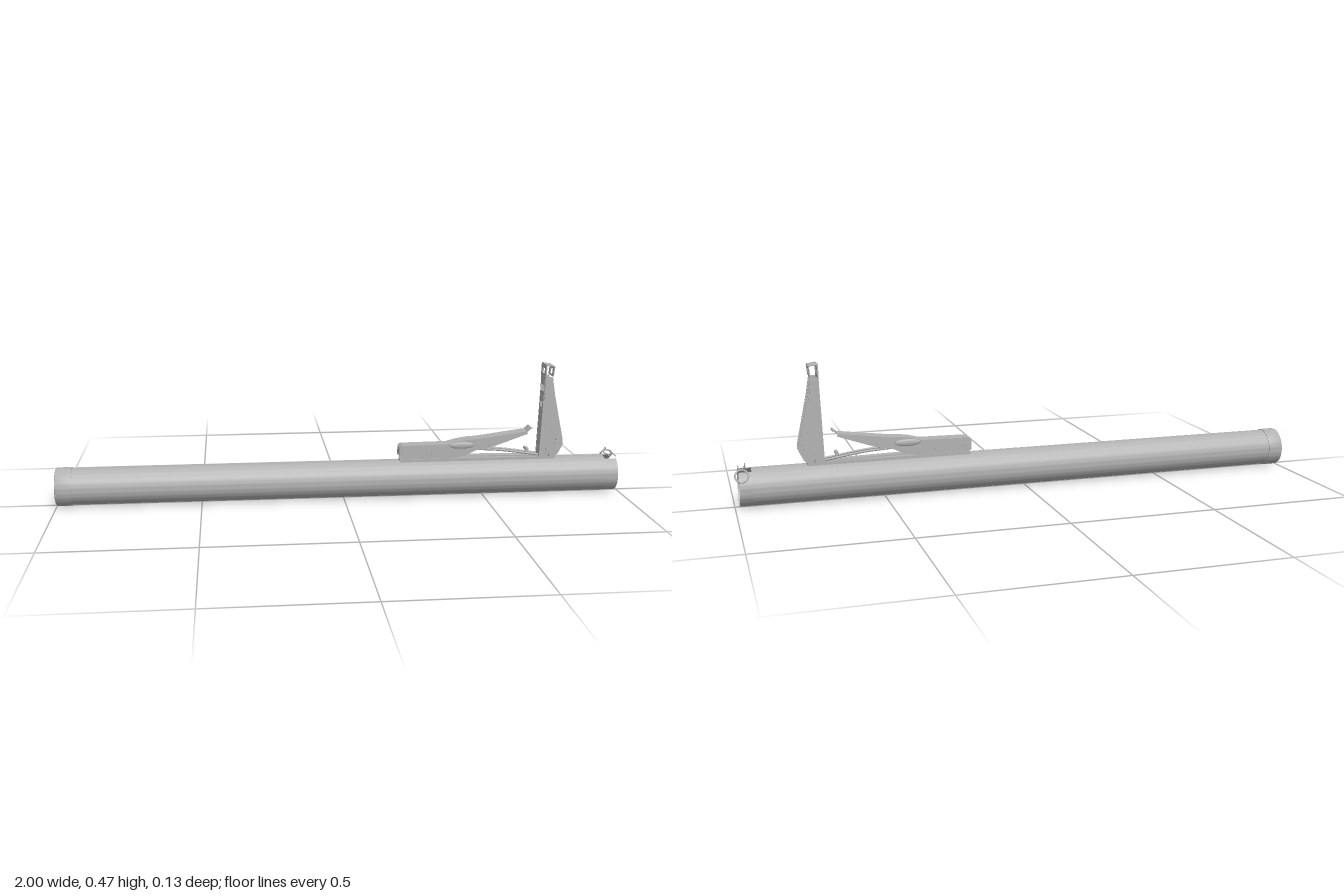
import * as THREE from 'three';
import { toCreasedNormals } from 'three/addons/utils/BufferGeometryUtils.js';

const metal = new THREE.MeshStandardMaterial({ color: 0xb2b2b2, side: THREE.DoubleSide });
metal.name = 'grey metal';
const V = (x, y, z) => new THREE.Vector3(x, y, z);
const AXIS_Y = 0.067;

export function createModel() {
  const root = new THREE.Group();
  const add = (name, geo, parent = root) => {
    const m = new THREE.Mesh(geo, metal);
    m.name = name;
    parent.add(m);
    return m;
  };
  const group = (name) => {
    const g = new THREE.Group();
    g.name = name;
    root.add(g);
    return g;
  };
  const shapeOf = (pts) => new THREE.Shape(pts.map(([x, y]) => new THREE.Vector2(x, y)));
  const extrude = (shape, depth) => {
    const g = new THREE.ExtrudeGeometry(shape, { depth, bevelEnabled: false });
    g.translate(0, 0, -depth / 2);
    return g;
  };
  // Side plate outlined in x and y
  const plate = (name, pts, t, z, parent) => add(name, extrude(shapeOf(pts), t).translate(0, 0, z), parent);
  // Bent strip of sheet metal following a path in x and y
  const strip = (name, pts, width, t, parent) => {
    const lower = pts.map(([x, y], i) => {
      const a = pts[Math.max(0, i - 1)], b = pts[Math.min(pts.length - 1, i + 1)];
      const l = Math.hypot(b[0] - a[0], b[1] - a[1]);
      return [x + (b[1] - a[1]) / l * t, y - (b[0] - a[0]) / l * t];
    });
    return add(name, extrude(shapeOf([...pts, ...lower.reverse()]), width), parent);
  };
  // Sheet in the y-z plane with rectangular holes [halfWidth, y0, y1]
  const holedSheet = (name, pts, holes, t, x, lean, parent) => {
    const s = shapeOf([...pts, ...pts.map(([z, y]) => [-z, y]).reverse()]);
    for (const [w, a, b] of holes) {
      s.holes.push(new THREE.Path([[-w, a], [-w, b], [w, b], [w, a]].map((p) => new THREE.Vector2(...p))));
    }
    const g = extrude(s, t).rotateY(Math.PI / 2).rotateZ(-lean).translate(x, 0, 0);
    return add(name, g, parent);
  };
  const wire = (name, pts, r, parent) =>
    add(name, new THREE.TubeGeometry(new THREE.CatmullRomCurve3(pts, false, 'centripetal'), 32, r, 8), parent);
  const pin = (name, x, y, r, len, parent, z = 0) =>
    add(name, new THREE.CylinderGeometry(r, r, len, 16).rotateX(Math.PI / 2).translate(x, y, z), parent);
  // Turned part along x, profile given as [radius, x]
  const turned = (name, pts, start = 0, length = Math.PI * 2) => {
    const g = new THREE.LatheGeometry(pts.map(([r, x]) => new THREE.Vector2(r, x)), 64, start, length);
    return add(name, toCreasedNormals(g.rotateZ(-Math.PI / 2), 0.5).translate(0, AXIS_Y, 0));
  };

  // Tube with a notch in the top of its open end
  turned('tube', [[0.064, -0.95], [0.064, 0.943], [0.061, 0.943], [0.061, -0.985]]);
  turned('notchedTubeEnd', [[0.064, 0.943], [0.064, 0.985], [0.061, 0.985], [0.061, 0.943]],
    Math.PI * 1.5 + 0.48, Math.PI * 2 - 0.96);
  turned('endCap', [[0, -1], [0.062, -1], [0.0655, -0.998], [0.067, -0.993], [0.067, -0.948], [0.066, -0.945],
    [0.063, -0.945], [0.061, -0.985], [0, -0.985]]);

  // Mounting rail on top of the tube
  add('mountingRail', new THREE.BoxGeometry(0.56, 0.01, 0.044).translate(0.48, 0.132, 0));

  // Lever: a channel open below
  const lever = group('lever');
  const top = [[0.196, 0.155], [0.197, 0.18], [0.206, 0.188], [0.37, 0.19], [0.41, 0.2], [0.45, 0.206],
    [0.48, 0.207], [0.655, 0.23], [0.668, 0.243], [0.674, 0.243]];
  const side = [[0.205, 0.139], [0.196, 0.146], ...top.slice(1, 7), [0.652, 0.23], [0.66, 0.222],
    [0.54, 0.18], [0.47, 0.165], [0.43, 0.146], [0.4, 0.139]];
  strip('leverTop', top, 0.05, 0.004, lever);
  for (const s of [-1, 1]) {
    plate('leverSide', side, 0.004, s * 0.024, lever);
    pin('leverRivet', 0.32, 0.157, 0.008, 0.006, lever, s * 0.028);
    pin('leverRivet', 0.52, 0.186, 0.006, 0.006, lever, s * 0.028);
    add('leverBulge', new THREE.SphereGeometry(1, 16, 10).scale(0.045, 0.012, 0.005).translate(0.42, 0.185, s * 0.026), lever);
  }
  pin('leverPivot', 0.215, 0.16, 0.008, 0.062, lever);

  // Linkage beneath the lever
  const link = group('linkage');
  for (const s of [-1, 1]) {
    wire('linkRod', [V(0.47, 0.168, s * 0.014), V(0.56, 0.162, s * 0.014), V(0.7, 0.142, s * 0.014)], 0.004, link);
  }
  strip('leafSpring', [[0.42, 0.145], [0.55, 0.143], [0.7, 0.14]], 0.03, 0.004, link);
  pin('linkPin', 0.51, 0.169, 0.006, 0.044, link);
  add('catchPost', new THREE.CylinderGeometry(0.005, 0.005, 0.025, 12).translate(0.66, 0.148, 0), link);
  pin('catchBar', 0.66, 0.162, 0.006, 0.032, link);

  // Upright folding sight
  const sight = group('foldingSight');
  const flank = [[0.702, 0.142], [0.71, 0.134], [0.755, 0.134], [0.77, 0.145], [0.788, 0.18], [0.786, 0.2],
    [0.752, 0.36], [0.741, 0.425], [0.713, 0.425]];
  for (const s of [-1, 1]) {
    plate('sightSide', flank, 0.004, s * 0.022, sight);
    plate('sightWing', [[0.712, 0.345], [0.72, 0.343], [0.748, 0.35], [0.741, 0.42], [0.714, 0.42]], 0.005, s * 0.0275, sight);
    pin('sightRivet', 0.765, 0.185, 0.008, 0.008, sight, s * 0.027);
    pin('sightRivet', 0.73, 0.165, 0.007, 0.01, sight, s * 0.027);
    pin('sightRivet', 0.75, 0.24, 0.007, 0.005, sight, s * 0.025);
    wire('baseHook', [V(0.735, 0.142, s * 0.02), V(0.735, 0.142, s * 0.033), V(0.735, 0.152, s * 0.036)], 0.002, sight);
  }
  holedSheet('sightWeb', [[0.022, 0.136], [0.022, 0.42], [0.03, 0.425], [0.03, 0.47]],
    [[0.013, 0.435, 0.455], [0.02, 0.372, 0.395], [0.013, 0.315, 0.335]], 0.004, 0.7, 0.035, sight);
  strip('sightHood', [[0.715, 0.47], [0.745, 0.465]], 0.06, 0.003, sight);
  holedSheet('sightFrontFrame', [[0.03, 0.43], [0.03, 0.466]], [[0.013, 0.436, 0.456]], 0.003, 0.694, 0.11, sight);
  pin('sightCrossPin', 0.765, 0.2, 0.005, 0.07, sight, 0.002);
  pin('sightHinge', 0.73, 0.148, 0.007, 0.05, sight);

  // Retaining wire and pull ring at the open end
  const ringPart = group('pullRing');
  wire('retainingWire', [V(0.96, 0.14, 0.034), V(0.96, 0.132, 0.034), V(0.96, 0.134, 0.02), V(0.96, 0.134, -0.034),
    V(0.965, 0.145, -0.038), V(0.97, 0.146, -0.046), V(0.972, 0.138, -0.049)], 0.002, ringPart);
  wire('retainingWireReturn', [V(0.983, 0.132, 0.032), V(0.983, 0.135, 0), V(0.983, 0.132, -0.034)], 0.002, ringPart);
  const ring = add('ring', new THREE.TorusGeometry(0.021, 0.003, 8, 32), ringPart);
  ring.position.set(0.976, 0.118, -0.056);
  ring.rotation.x = 0.45;
  return root;
}
